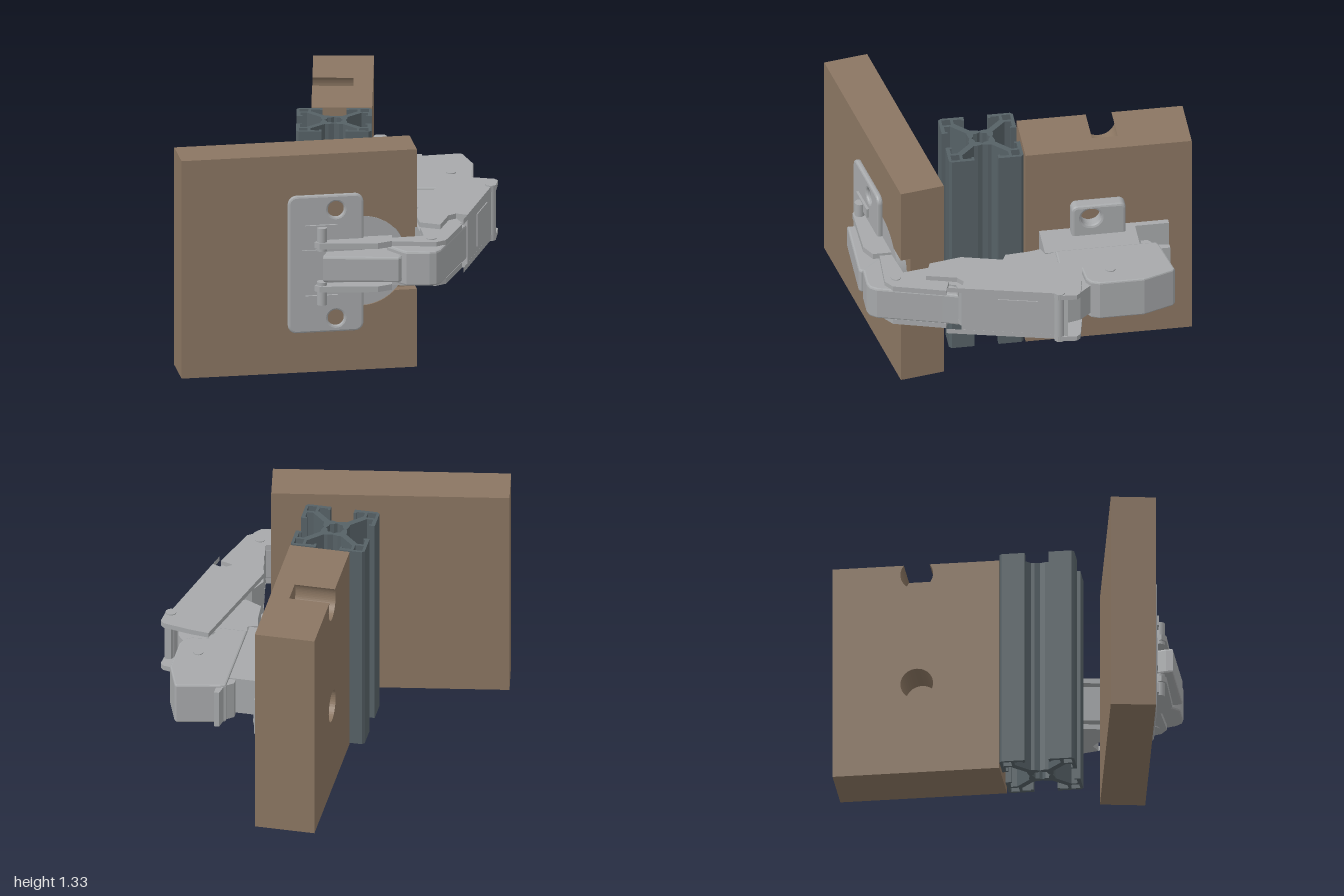
import * as THREE from 'three';

const wood = new THREE.MeshStandardMaterial({ color: 0x8b7662 });
wood.name = 'wood';
const steel = new THREE.MeshStandardMaterial({ color: 0xa7a9ab });
steel.name = 'steel';
const slate = new THREE.MeshStandardMaterial({ color: 0x566166 });
slate.name = 'slate metal';

const H = 1.333, MID = 0.667;

function mesh(name, geo, mat, parent) {
  const m = new THREE.Mesh(geo, mat);
  m.name = name;
  parent.add(m);
  return m;
}
function extrude(shape, depth, b = 0) {
  const g = new THREE.ExtrudeGeometry(shape, {
    depth: depth - 2 * b, curveSegments: 20, bevelEnabled: b > 0,
    bevelThickness: b, bevelSize: b, bevelOffset: -b, bevelSegments: 2
  });
  return g.translate(0, 0, b);
}
const poly = (pts) => new THREE.Shape(pts.map(([x, y]) => new THREE.Vector2(x, y)));

// Plan outline given as [x, z], raised from y0 to y1
function plan(name, pts, y0, y1, mat, parent, b = 0) {
  const g = extrude(poly(pts.map(([x, z]) => [x, -z])), y1 - y0, b);
  return mesh(name, g.rotateX(-Math.PI / 2).translate(0, y0, 0), mat, parent);
}
// Two matching cheeks mirrored about the middle height
function cheeks(name, pts, inner, outer, parent) {
  plan(name + 'Upper', pts, MID + inner, MID + outer, steel, parent);
  plan(name + 'Lower', pts, MID - outer, MID - inner, steel, parent);
}
// Outline drawn in [-z, y], thickened along +x
function sideways(name, shape, x0, x1, mat, parent, b = 0) {
  return mesh(name, extrude(shape, x1 - x0, b).rotateY(Math.PI / 2).translate(x0, 0, 0), mat, parent);
}
function box(name, x0, x1, y0, y1, z0, z1, mat, parent) {
  const g = new THREE.BoxGeometry(x1 - x0, y1 - y0, z1 - z0);
  return mesh(name, g.translate((x0 + x1) / 2, (y0 + y1) / 2, (z0 + z1) / 2), mat, parent);
}
function pin(name, x, z, y0, y1, r, parent) {
  return mesh(name, new THREE.CylinderGeometry(r, r, y1 - y0, 20).translate(x, (y0 + y1) / 2, z), steel, parent);
}
function roundRect(x0, x1, y0, y1, r) {
  const s = new THREE.Shape();
  s.absarc(x1 - r, y1 - r, r, 0, Math.PI / 2);
  s.absarc(x0 + r, y1 - r, r, Math.PI / 2, Math.PI);
  s.absarc(x0 + r, y0 + r, r, Math.PI, Math.PI * 1.5);
  s.absarc(x1 - r, y0 + r, r, Math.PI * 1.5, Math.PI * 2);
  return s;
}
const circle = (x, y, r) => new THREE.Path().absarc(x, y, r, 0, Math.PI * 2, true);

// Upright panel with blind holes drilled from its right-hand side
function fixedPanel(root) {
  const g = new THREE.Group();
  g.name = 'fixedPanel';
  const r = 0.096, cy = 1.274, a = Math.asin((H - cy) / r);
  const s = new THREE.Shape();
  s.moveTo(0.02, 0).lineTo(1, 0).lineTo(1, H);
  s.lineTo(0.505 + r * Math.cos(a), H);
  s.absarc(0.505, cy, r, a, -Math.PI - a, true);
  s.lineTo(0.02, H);
  s.holes.push(circle(0.505, 0.57, r));
  sideways('drilledLayer', s, -0.15, 0.09, wood, g);
  box('solidLayer', 0.09, 0.205, 0, H, -1, -0.02, wood, g);
  root.add(g);
}

// Slotted metal profile, one quarter repeated four times
function slottedPost(root) {
  const half = [[0.077, 0.03], [0.077, 0.052], [0.16, 0.135], [0.197, 0.135], [0.197, 0.085],
    [0.185, 0.085], [0.185, 0.07], [0.22, 0.07], [0.22, 0.205]];
  const quarter = [[0.068, 0], ...half, ...half.map(([x, y]) => [y, x]).reverse()];
  const pts = [], holes = [];
  for (let k = 0; k < 4; k++) {
    const c = [1, 0, -1, 0][k], s = [0, 1, 0, -1][k];
    const turn = ([x, y]) => [x * c - y * s, x * s + y * c];
    pts.push(...quarter.map(turn));
    holes.push([[0.152, 0.152], [0.152, 0.203], [0.203, 0.203], [0.203, 0.152]].map(turn));
  }
  const shape = poly(pts);
  holes.forEach((h) => shape.holes.push(poly(h)));
  const core = [];
  for (let k = 0; k < 16; k++) {
    const r = k % 2 ? 0.046 : 0.055, t = -k * Math.PI / 8;
    core.push([r * Math.cos(t), r * Math.sin(t)]);
  }
  shape.holes.push(poly(core));
  const g = extrude(shape, H).rotateX(-Math.PI / 2).translate(-0.015, 0, 0.21);
  mesh('slottedPost', g, slate, root);
}

// Swung door with its cup, flange and knuckle, built flat then turned
function door(root) {
  const g = new THREE.Group();
  g.name = 'door';
  g.position.set(-0.21, 0, 0.8775);
  g.rotation.y = 0.1745;
  box('doorSlab', -0.695, 0.695, 0, H, -0.264, -0.06, wood, g);
  const r = 0.275, cu = 0.365, n = 0.19, a = Math.asin(n / r);
  const s = new THREE.Shape();
  s.moveTo(-0.695, 0).lineTo(0.695, 0).lineTo(0.695, MID - n);
  s.lineTo(cu + r * Math.cos(a), MID - n);
  s.absarc(cu, MID, r, -a, -Math.PI * 2 + a, true);
  s.lineTo(0.695, MID + n).lineTo(0.695, H).lineTo(-0.695, H);
  mesh('doorFace', extrude(s, 0.06).translate(0, 0, -0.06), wood, g);
  const cup = new THREE.CylinderGeometry(0.273, 0.273, 0.055, 48).rotateX(Math.PI / 2);
  mesh('hingeCup', cup.translate(cu, MID, -0.0305), steel, g);

  const flange = roundRect(-0.07, 0.375, 0.25, 1.09, 0.05);
  for (const y of [1.0, 0.335]) flange.holes.push(circle(0.213, y, 0.048));
  mesh('cupFlange', extrude(flange, 0.035, 0.012), steel, g);
  for (const k of [-1, 1]) {
    const y = MID + k * 0.165;
    box('flangeRib', 0.03, 0.22, y + k * 0.05 - 0.03, y + k * 0.05 + 0.03, 0.03, 0.05, steel, g);
    pin('knucklePin', 0.125, 0.06, y - 0.07, y + 0.07, 0.03, g);
  }
  box('flangeTab', 0.01, 0.15, 0.58, 0.76, 0.03, 0.045, steel, g);
  root.add(g);
}

// Mounting plate on the upright panel
function mountingPlate(root) {
  const g = new THREE.Group();
  g.name = 'mountingPlate';
  box('plateBody', 0.205, 0.43, 0.55, 0.785, -0.66, -0.1, steel, g);
  box('plateTail', 0.205, 0.24, 0.55, 0.785, -0.86, -0.66, steel, g);
  box('plateStep', 0.205, 0.285, 0.55, 0.785, -0.3, -0.21, steel, g);
  const wing = roundRect(0.28, 0.6, 0.345, 0.988, 0.035);
  for (const y of [0.905, 0.435]) wing.holes.push(circle(0.395, y, 0.058));
  sideways('wingPlate', wing, 0.205, 0.288, steel, g, 0.015);
  const head = new THREE.Shape().absarc(0.52, 0.455, 0.06, 0, Math.PI * 2);
  const w = 0.009, l = 0.04;
  head.holes.push(poly([[w, w], [w, l], [-w, l], [-w, w], [-l, w], [-l, -w], [-w, -w], [-w, -l],
    [w, -l], [w, -w], [l, -w], [l, w]].map(([x, y]) => [x + 0.52, y + 0.455])));
  sideways('screwHead', head, 0.28, 0.305, steel, g);
  plan('releaseLatch', [[0.39, -0.67], [0.39, -0.71], [0.44, -0.75], [0.455, -0.83], [0.485, -0.83],
    [0.485, -0.77], [0.5, -0.67]], 0.55, 0.785, steel, g);
  root.add(g);
}

function hingeArm(root) {
  const g = new THREE.Group();
  g.name = 'hingeArm';
  // Rear arm over the mounting plate
  plan('rearArm', [[0.43, -0.755], [0.46, -0.77], [0.71, -0.822], [0.725, -0.81], [0.79, -0.63],
    [0.79, -0.37], [0.77, -0.32], [0.73, -0.295], [0.63, -0.285], [0.6, -0.16], [0.43, -0.16]],
  0.54, 0.797, steel, g, 0.01);
  plan('innerLink', [[0.43, -0.17], [0.44, -0.1], [0.385, -0.08], [0.4, 0], [0.41, 0.13], [0.51, 0.18],
    [0.56, 0.15], [0.64, -0.2]], 0.55, 0.785, steel, g);
  plan('rearLink', [[0.62, -0.3], [0.76, -0.32], [0.82, -0.25], [0.86, -0.1], [0.8, -0.04], [0.62, -0.15]],
    0.57, 0.765, steel, g);
  // Middle arm: open channel of two cheeks and an outer web
  cheeks('middleCheek', [[0.635, -0.285], [0.75, -0.27], [0.915, -0.235], [0.935, -0.21], [0.925, -0.1],
    [0.895, -0.08], [0.745, 0.53], [0.765, 0.445], [0.7, 0.42], [0.655, 0.455], [0.61, 0.63], [0.49, 0.59],
    [0.455, 0.4]], 0.132, 0.163, g);
  plan('middleWeb', [[0.925, -0.16], [0.895, -0.08], [0.765, 0.445], [0.73, 0.43], [0.86, -0.1], [0.885, -0.16]],
    0.53, 0.805, steel, g);
  plan('middleCore', [[0.5, 0.3], [0.66, 0.25], [0.74, 0.44], [0.65, 0.46], [0.61, 0.63], [0.49, 0.59], [0.455, 0.4]],
    0.56, 0.775, steel, g);
  // Raised T panel on the outer face
  const t = new THREE.Group();
  t.name = 'raisedPanel';
  t.position.set(0.845, MID, 0.125);
  t.rotation.y = -0.243;
  box('panelBar', -0.005, 0.005, -0.1, 0.1, 0.045, 0.115, steel, t);
  box('panelStem', -0.005, 0.005, -0.06, 0.1, -0.12, 0.045, steel, t);
  g.add(t);
  // Elbow and front cover
  plan('elbow', [[0.49, 0.59], [0.61, 0.63], [0.645, 0.48], [0.665, 0.45], [0.76, 0.46], [0.73, 0.55],
    [0.62, 0.92], [0.59, 0.96], [0.55, 0.972], [0.415, 0.972], [0.38, 0.94], [0.3, 0.85], [0.3, 0.81], [0.515, 0.75]],
  0.563, 0.774, steel, g, 0.012);
  cheeks('elbowCheek', [[0.49, 0.59], [0.61, 0.63], [0.645, 0.5], [0.735, 0.53], [0.645, 0.83], [0.59, 0.87],
    [0.32, 0.86], [0.28, 0.8], [0.515, 0.75]], 0.1, 0.134, g);
  plan('frontCover', [[-0.07, 0.99], [0.37, 0.99], [0.388, 0.975], [0.388, 0.95], [0.42, 0.95], [0.42, 0.79],
    [0.3, 0.8], [-0.05, 0.87], [-0.07, 0.95]], 0.59, 0.745, steel, g, 0.012);
  cheeks('frontCheek', [[-0.12, 0.93], [-0.09, 0.955], [0.25, 0.945], [0.33, 0.9], [0.33, 0.79], [-0.08, 0.86]],
    0.115, 0.15, g);
  // Pivot pins
  pin('rearPivot', 0.895, -0.115, 0.498, 0.836, 0.032, g);
  pin('armPivot', 0.66, -0.45, 0.534, 0.803, 0.03, g);
  pin('elbowPivot', 0.56, 0.8, 0.528, 0.806, 0.03, g);
  root.add(g);
}

export function createModel() {
  const root = new THREE.Group();
  root.name = 'hingeAssembly';
  fixedPanel(root);
  slottedPost(root);
  door(root);
  mountingPlate(root);
  hingeArm(root);
  return root;
}
